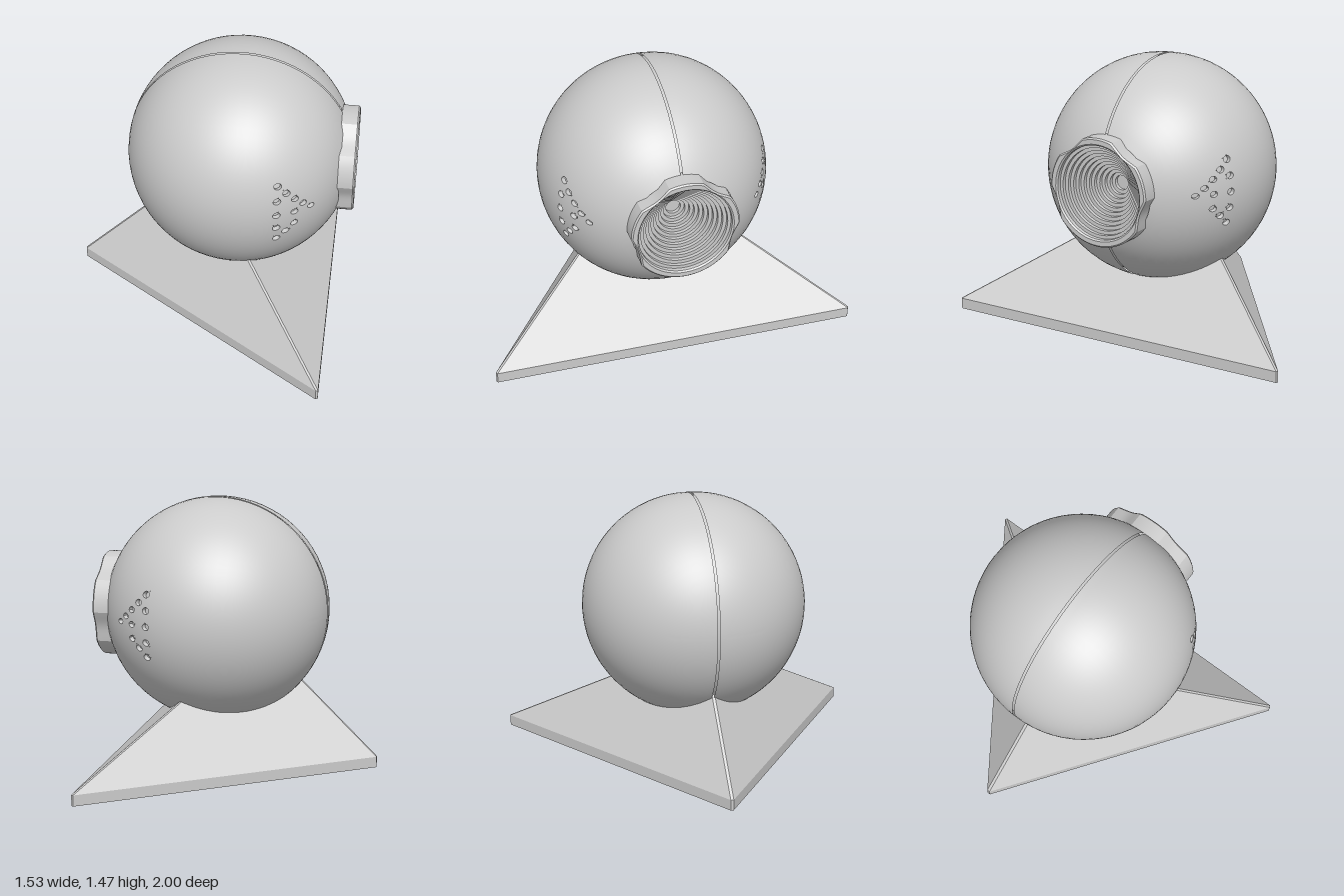
import * as THREE from 'three';
import { toCreasedNormals } from 'three/addons/utils/BufferGeometryUtils.js';
import { ConvexGeometry } from 'three/addons/geometries/ConvexGeometry.js';

const material = new THREE.MeshStandardMaterial({ color: 0xcccccc });
const thinMaterial = new THREE.MeshStandardMaterial({ color: 0xcccccc, side: THREE.DoubleSide });

const CENTER = new THREE.Vector3(0.13, 0.86, -0.005);
const R = 0.615;
const GAP = 0.006; // half the seam width
const rad = THREE.MathUtils.degToRad;

// Shell grid: polar rows from the lens opening to the back, columns over half a turn
const ROW0 = 25.625, ROW_STEP = 4.75, ROWS = 33, COLS = 41;
// Speaker holes as [column from the wide side, row from the middle]
const HOLES = [[0, -4], [0, -2], [0, 0], [0, 2], [0, 4], [1, -3], [1, 3],
  [2, -2], [2, 0], [2, 2], [3, -1], [4, 0]];

function spherePoint(row, col, radius = R) {
  const t = rad(Math.min(180, ROW0 + row * ROW_STEP));
  const u = Math.PI * col / COLS;
  return [Math.cos(t) * radius, Math.sin(t) * Math.cos(u) * radius, Math.sin(t) * Math.sin(u) * radius];
}

// Half of the ball, with round holes cut through some of its cells
function halfShell() {
  const pos = [];
  const quad = (a, b, c, d) => pos.push(...a, ...b, ...c, ...a, ...c, ...d);
  const holeCells = new Set(HOLES.map(([c, r]) => `${8 - c},${20 + r}`));
  for (let i = 0; i < ROWS; i++) {
    for (let j = 0; j < COLS; j++) {
      if (!holeCells.has(`${i},${j}`)) {
        quad(spherePoint(i, j), spherePoint(i + 1, j), spherePoint(i + 1, j + 1), spherePoint(i, j + 1));
        continue;
      }
      const at = (k, square, radius) => {
        const a = k * Math.PI / 8, c = Math.cos(a), s = Math.sin(a);
        const f = square ? 0.5 / Math.max(Math.abs(c), Math.abs(s)) : 0.42;
        return spherePoint(i + 0.5 + c * f, j + 0.5 + s * f, radius);
      };
      for (let k = 0; k < 16; k++) {
        quad(at(k, true), at(k + 1, true), at(k + 1, false), at(k, false));
        quad(at(k, false), at(k + 1, false), at(k + 1, false, R - 0.04), at(k, false, R - 0.04));
      }
    }
  }
  const g = new THREE.BufferGeometry();
  g.setAttribute('position', new THREE.Float32BufferAttribute(pos, 3));
  return toCreasedNormals(g, 0.5);
}

// Lathe whose axis points along +x
function latheX(points, segments) {
  const g = new THREE.LatheGeometry(points.map(([r, x]) => new THREE.Vector2(r, x)), segments);
  g.rotateZ(-Math.PI / 2);
  return toCreasedNormals(g, 0.5);
}

// Ring with four finger notches
function bezelGeometry() {
  const notches = [54, 126, 198, 342];
  const outline = [];
  for (let a = 0; a < 360; a += 4) {
    let r = 0.29;
    for (const n of notches) {
      const d = Math.abs(((a - n + 540) % 360) - 180);
      if (d < 18) r -= 0.026 * Math.cos(d / 18 * Math.PI / 2);
    }
    outline.push(new THREE.Vector2(r * Math.cos(rad(a)), r * Math.sin(rad(a))));
  }
  const shape = new THREE.Shape(outline);
  shape.holes.push(new THREE.Path().absarc(0, 0, 0.25, 0, Math.PI * 2, true));
  const bevel = 0.008;
  const g = new THREE.ExtrudeGeometry(shape, {
    depth: 0.12, curveSegments: 32, bevelEnabled: true, bevelSegments: 1,
    bevelSize: bevel, bevelThickness: bevel, bevelOffset: -bevel,
  });
  g.translate(0, 0, 0.765 - 0.12 - bevel);
  g.rotateY(Math.PI / 2);
  return toCreasedNormals(g, 0.35);
}

// Three-sided pyramid on a low plinth, with narrow flats along its ridges
function pedestalGeometry() {
  const corners = [[-0.78, 0], [0.66, 1.01], [0.66, -1.01]].map(([x, z]) => new THREE.Vector3(x, 0, z));
  const apex = new THREE.Vector3(-0.1, 0, 0);
  const points = [];
  corners.forEach((corner, i) => {
    for (const step of [1, 2]) {
      const side = corners[(i + step) % 3].clone().sub(corner).setLength(0.014);
      for (const [y, t] of [[0, 0], [0.06, 0], [0.7, 0.97]]) {
        const p = corner.clone().lerp(apex, t).add(side);
        p.y = y;
        points.push(p);
      }
    }
  });
  return new ConvexGeometry(points);
}

export function createModel() {
  const group = new THREE.Group();
  const add = (name, geometry, mat, parent = group) => {
    const mesh = new THREE.Mesh(geometry, mat);
    mesh.name = name;
    parent.add(mesh);
    return mesh;
  };

  add('pedestal', pedestalGeometry(), material);

  const head = new THREE.Group();
  head.name = 'cameraBall';
  head.position.copy(CENTER);
  group.add(head);

  // Two mirrored half shells with a seam between them
  const shell = halfShell();
  add('frontShell', shell, thinMaterial, head).position.z = GAP;
  const back = add('backShell', shell, thinMaterial, head);
  back.scale.z = -1;
  back.position.z = -GAP;

  // Inner ball closes the seam and the speaker holes
  const arc = [];
  for (let i = 0; i <= 36; i++) {
    const t = rad(180 - i * (180 - 26) / 36);
    arc.push([Math.sin(t) * (R - 0.018), Math.cos(t) * (R - 0.018)]);
  }
  add('innerBall', latheX(arc, 64), thinMaterial, head);

  // Lens surround and stepped lens recess
  const lens = new THREE.Group();
  lens.name = 'lens';
  lens.position.set(0, CENTER.y, CENTER.z);
  group.add(lens);
  add('lensBezel', bezelGeometry(), material, lens);

  const steps = [];
  const count = 11;
  for (let i = 0; i <= count; i++) {
    const r = 0.252 - i * 0.0193, x = 0.755 - i * 0.02;
    steps.push([r, x], [r, x - 0.02]);
  }
  steps.push([0, 0.755 - (count + 1) * 0.02]);
  add('lensSteps', latheX(steps, 48), thinMaterial, lens);

  return group;
}
